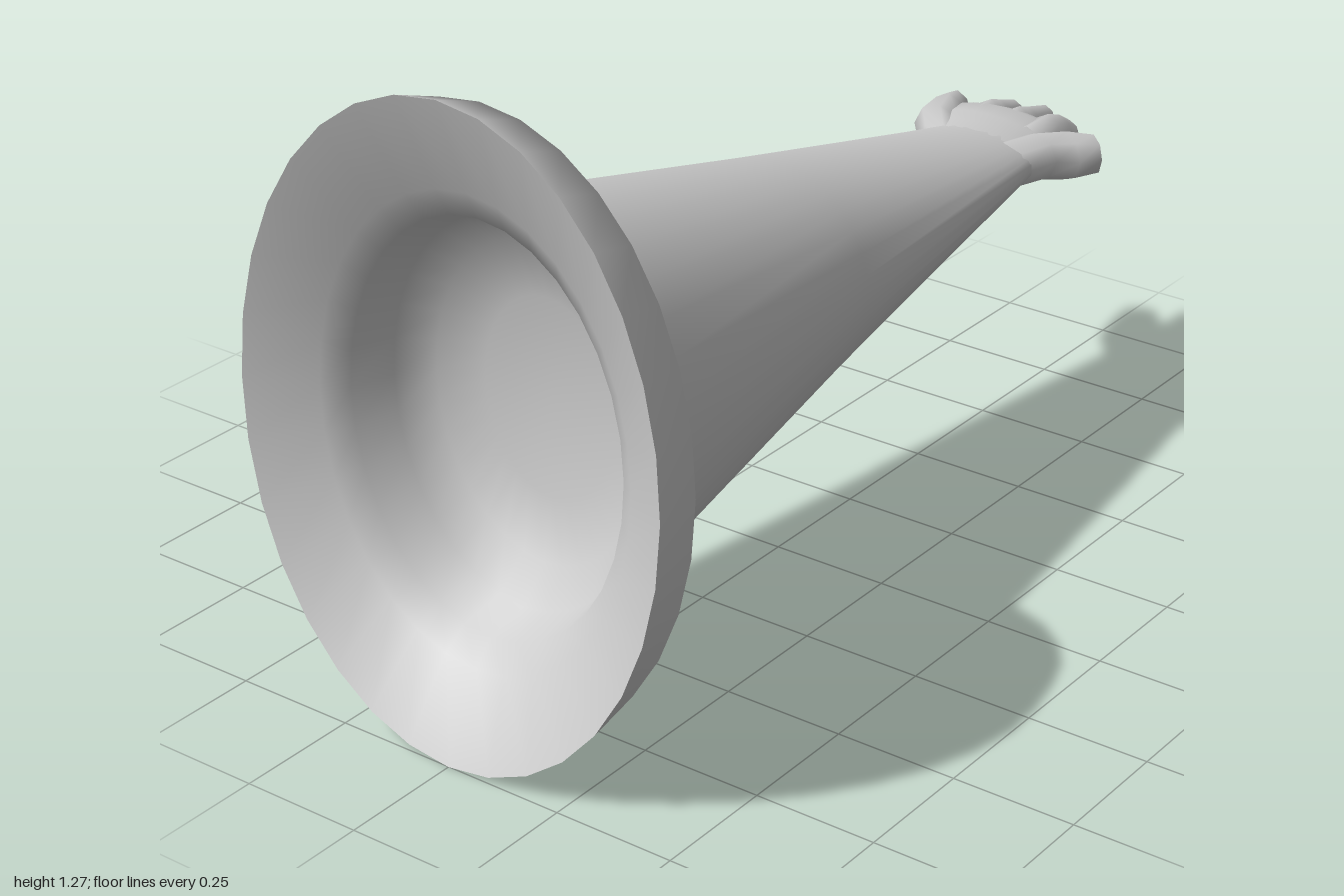
import * as THREE from 'three';
import { toCreasedNormals } from 'three/addons/utils/BufferGeometryUtils.js';

const material = new THREE.MeshStandardMaterial({ color: 0xcccccc, side: THREE.DoubleSide });

// Skin over elliptical rings along x.
// Ring: [x, centre y, radius y, centre z, radius z, lean of x with y, lean of x with z]
function loft(name, rings, sides = 32, crease = Math.PI) {
  const pos = [], index = [];
  for (const [x, cy, ry, cz, rz, leanY = 0, leanZ = 0] of rings) {
    for (let j = 0; j < sides; j++) {
      const a = (j / sides) * Math.PI * 2;
      const dy = ry * Math.cos(a), dz = rz * Math.sin(a);
      pos.push(x + leanY * dy + leanZ * dz, cy + dy, cz + dz);
    }
  }
  for (let i = 0; i < rings.length - 1; i++) {
    for (let j = 0; j < sides; j++) {
      const k = (j + 1) % sides;
      const a = i * sides + j, b = i * sides + k, c = a + sides, d = b + sides;
      index.push(a, b, c, b, d, c);
    }
  }
  const geometry = new THREE.BufferGeometry();
  geometry.setAttribute('position', new THREE.Float32BufferAttribute(pos, 3));
  geometry.setIndex(index);
  const mesh = new THREE.Mesh(toCreasedNormals(geometry, crease), material);
  mesh.name = name;
  return mesh;
}

// Digit: rings closed by a flat tip
function digit(name, rings) {
  const [x, cy, , cz] = rings[rings.length - 1];
  return loft(name, [...rings, [x, cy, 0, cz, 0]], 8, 1.0);
}

export function createModel() {
  const model = new THREE.Group();
  model.name = 'sleevedArm';

  // Shallow hollow flaring out into the funnel of the cuff
  model.add(loft('cuffHollow', [
    [-0.67, 0.605, 0, -0.01, 0],
    [-0.68, 0.605, 0.2, -0.01, 0.15],
    [-0.71, 0.605, 0.32, -0.01, 0.24],
    [-0.77, 0.606, 0.385, -0.01, 0.29],
    [-0.86, 0.61, 0.408, -0.01, 0.312, 0.01],
    [-0.9, 0.617, 0.46, -0.006, 0.355, 0.025],
    [-0.98, 0.636, 0.634, 0, 0.474, 0.033],
  ]));

  // Tilted cuff band and front face running smoothly into the tapering sleeve
  model.add(loft('cuffAndSleeve', [
    [-0.98, 0.636, 0.634, 0, 0.474, 0.033],
    [-0.865, 0.63, 0.602, 0, 0.46, 0.025],
    [-0.857, 0.607, 0.411, -0.012, 0.314, 0.01],
    [-0.79, 0.606, 0.411, -0.012, 0.308],
    [-0.71, 0.604, 0.408, -0.012, 0.301],
    [-0.66, 0.604, 0.396, -0.012, 0.296],
    [0.0, 0.609, 0.23, -0.01, 0.222],
    [0.7, 0.614, 0.056, -0.006, 0.141],
    [0.73, 0.614, 0.053, -0.012, 0.142],
  ]));

  // Palm
  const hand = new THREE.Group();
  hand.name = 'hand';
  hand.add(loft('palm', [
    [0.7, 0.614, 0.056, -0.006, 0.141],
    [0.75, 0.614, 0.053, -0.02, 0.148],
    [0.8, 0.613, 0.053, -0.04, 0.155],
    [0.86, 0.61, 0.053, -0.04, 0.148],
    [0.885, 0.608, 0.045, -0.035, 0.13],
    [0.89, 0.608, 0, -0.035, 0],
  ], 24, 1.0));

  // Three short fingers, joined at the knuckles: centre z at root and tip, tip x
  for (const [z0, z1, tip] of [[-0.085, -0.086, 0.98], [-0.015, -0.016, 0.993], [0.058, 0.071, 0.95]]) {
    hand.add(digit('finger', [
      [0.8, 0.611, 0.05, z0, 0.045],
      [0.885, 0.608, 0.054, z0, 0.042],
      [0.92, 0.606, 0.044, (z0 + z1) / 2, 0.033],
      [tip, 0.603, 0.027, z1, 0.029, 0, -0.2],
    ]));
  }

  // Broad outer finger
  hand.add(digit('outerFinger', [
    [0.7, 0.614, 0.05, -0.085, 0.062],
    [0.78, 0.613, 0.053, -0.145, 0.065],
    [0.86, 0.608, 0.054, -0.175, 0.048],
    [0.918, 0.605, 0.042, -0.192, 0.037, 0, -0.1],
  ]));

  // Thumb splayed outward
  hand.add(digit('thumb', [
    [0.69, 0.614, 0.05, 0.07, 0.063],
    [0.77, 0.613, 0.052, 0.098, 0.055],
    [0.82, 0.61, 0.054, 0.143, 0.047, 0, -0.4],
    [0.863, 0.608, 0.044, 0.183, 0.033, 0, -0.55],
  ]));
  model.add(hand);
  return model;
}
